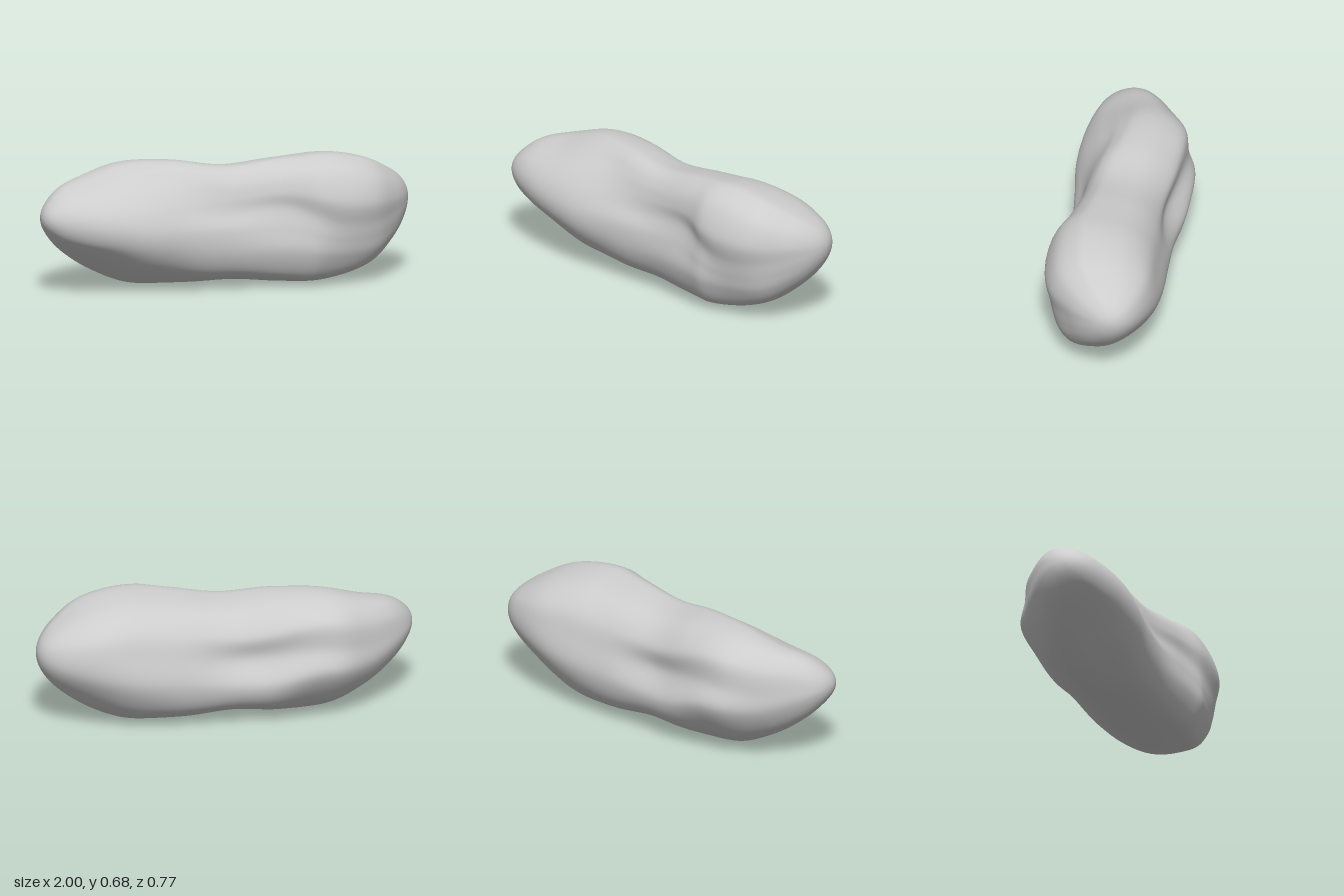
import * as THREE from 'three';

// Outline limits along the length, at x = -cos(k * 15 degrees)
const TOP = [0.41, 0.485, 0.56, 0.607, 0.66, 0.663, 0.634, 0.665, 0.684, 0.648, 0.573, 0.495, 0.41];
const BOTTOM = [0.41, 0.325, 0.22, 0.113, 0.027, 0.016, 0.035, 0.015, 0.004, 0.07, 0.183, 0.3, 0.41];
const BACK = [-0.03, -0.13, -0.22, -0.305, -0.388, -0.36, -0.288, -0.255, -0.23, -0.19, -0.125, -0.045, 0.05];
const FRONT = [-0.03, 0.055, 0.125, 0.187, 0.228, 0.235, 0.255, 0.315, 0.38, 0.367, 0.268, 0.155, 0.05];

// Cross-sections [z, y] from the top, over the front, under the bottom and up the back
const RIGHT_END = [[-0.12, 0.608], [-0.03, 0.58], [0.045, 0.54], [0.11, 0.49], [0.155, 0.42], [0.168, 0.345],
  [0.145, 0.27], [0.085, 0.21], [0.01, 0.16], [-0.07, 0.118], [-0.15, 0.108], [-0.235, 0.165],
  [-0.3, 0.28], [-0.3, 0.39], [-0.28, 0.51], [-0.21, 0.59]];
const RIGHT_LOBE = [[-0.08, 0.668], [0, 0.64], [0.06, 0.595], [0.13, 0.53], [0.195, 0.44], [0.232, 0.34],
  [0.222, 0.24], [0.165, 0.147], [0.07, 0.08], [-0.04, 0.028], [-0.145, 0.025], [-0.285, 0.125],
  [-0.39, 0.29], [-0.352, 0.42], [-0.335, 0.56], [-0.21, 0.645]];
const RIGHT_WAIST = [[0.01, 0.645], [0.09, 0.625], [0.14, 0.57], [0.17, 0.5], [0.195, 0.42], [0.235, 0.33],
  [0.235, 0.21], [0.188, 0.105], [0.1, 0.05], [-0.01, 0.033], [-0.13, 0.045], [-0.265, 0.12],
  [-0.315, 0.24], [-0.25, 0.375], [-0.255, 0.5], [-0.145, 0.61]];
const LEFT_WAIST = [[0.1, 0.665], [0.18, 0.645], [0.24, 0.59], [0.27, 0.51], [0.268, 0.43], [0.297, 0.32],
  [0.31, 0.2], [0.255, 0.07], [0.15, 0.02], [0.02, 0.015], [-0.115, 0.037], [-0.215, 0.12],
  [-0.255, 0.25], [-0.225, 0.39], [-0.185, 0.52], [-0.08, 0.62]];
const LEFT_LOBE = [[0.14, 0.684], [0.237, 0.665], [0.325, 0.595], [0.38, 0.46], [0.36, 0.335], [0.35, 0.25],
  [0.33, 0.16], [0.27, 0.058], [0.17, 0.022], [0.03, 0.006], [-0.09, 0.06], [-0.18, 0.155],
  [-0.23, 0.28], [-0.207, 0.42], [-0.158, 0.55], [-0.04, 0.643]];
const LEFT_END = [[0.14, 0.61], [0.21, 0.587], [0.275, 0.53], [0.305, 0.44], [0.292, 0.35], [0.28, 0.28],
  [0.258, 0.21], [0.21, 0.155], [0.14, 0.135], [0.05, 0.14], [-0.04, 0.19], [-0.115, 0.265],
  [-0.155, 0.345], [-0.152, 0.44], [-0.113, 0.525], [-0.01, 0.588]];
const ROUND = RIGHT_LOBE.map((_, i) => {
  const a = (i / 16) * Math.PI * 2;
  return [Math.sin(a), Math.cos(a)];
});

// Fit a section into the unit square
function normalise(points) {
  const box = new THREE.Box2().setFromPoints(points.map(([z, y]) => new THREE.Vector2(z, y)));
  const size = box.getSize(new THREE.Vector2());
  return points.map(([z, y]) => [(z - box.min.x) / size.x, (y - box.min.y) / size.y]);
}

// Smooth curve through values given at unevenly spaced stations
function spline(stations, values, t) {
  const last = stations.length - 1;
  let i = 0;
  while (i < last - 1 && t > stations[i + 1]) i++;
  const slope = (k) => {
    const a = Math.max(k - 1, 0), b = Math.min(k + 1, last);
    return (values[b] - values[a]) / (stations[b] - stations[a]);
  };
  const h = stations[i + 1] - stations[i], s = (t - stations[i]) / h;
  const s2 = s * s, s3 = s2 * s;
  return (2 * s3 - 3 * s2 + 1) * values[i] + (s3 - 2 * s2 + s) * h * slope(i)
    + (3 * s2 - 2 * s3) * values[i + 1] + (s3 - s2) * h * slope(i + 1);
}

const SECTIONS = [ROUND, RIGHT_END, RIGHT_LOBE, RIGHT_WAIST, LEFT_WAIST, LEFT_LOBE, LEFT_END, ROUND].map(normalise);
const SECTION_T = [-1, -0.75, -0.42, -0.1, 0.25, 0.53, 0.8, 1].map((x) => Math.acos(-x));
const OUTLINE_T = TOP.map((_, k) => (k * Math.PI) / 12);

function createBodyGeometry(rings = 96, sides = 112) {
  const positions = [-1, TOP[0], BACK[0]];
  const index = [];

  // Rings, closely spaced towards the rounded ends
  for (let r = 1; r < rings; r++) {
    const t = (r / rings) * Math.PI;
    const control = ROUND.map((_, j) => new THREE.Vector3(
      spline(SECTION_T, SECTIONS.map((s) => s[j][0]), t),
      spline(SECTION_T, SECTIONS.map((s) => s[j][1]), t), 0));
    const loop = new THREE.CatmullRomCurve3(control, true, 'catmullrom', 0.5);
    const points = [];
    for (let j = 0; j < sides; j++) {
      const p = loop.getPoint(j / sides);
      points.push([p.x, p.y]);
    }
    const [top, bottom, back, front] = [TOP, BOTTOM, BACK, FRONT].map((v) => spline(OUTLINE_T, v, t));
    for (const [u, v] of normalise(points)) {
      positions.push(-Math.cos(t), bottom + v * (top - bottom), back + u * (front - back));
    }
  }
  positions.push(1, TOP[12], BACK[12]);

  // Skin between the rings, closed by a fan at each end
  const end = positions.length / 3 - 1;
  const at = (r, j) => 1 + r * sides + (j % sides);
  for (let j = 0; j < sides; j++) {
    index.push(0, at(0, j + 1), at(0, j));
    index.push(end, at(rings - 2, j), at(rings - 2, j + 1));
    for (let r = 0; r < rings - 2; r++) {
      index.push(at(r, j), at(r, j + 1), at(r + 1, j));
      index.push(at(r, j + 1), at(r + 1, j + 1), at(r + 1, j));
    }
  }

  const geometry = new THREE.BufferGeometry();
  geometry.setAttribute('position', new THREE.Float32BufferAttribute(positions, 3));
  geometry.setIndex(index);
  geometry.computeVertexNormals();
  return geometry;
}

export function createModel() {
  const group = new THREE.Group();
  group.name = 'smoothRock';
  const stone = new THREE.MeshStandardMaterial({ color: 0xcccccc });
  stone.name = 'stone grey';
  const body = new THREE.Mesh(createBodyGeometry(), stone);
  body.name = 'rockBody';
  group.add(body);
  return group;
}
